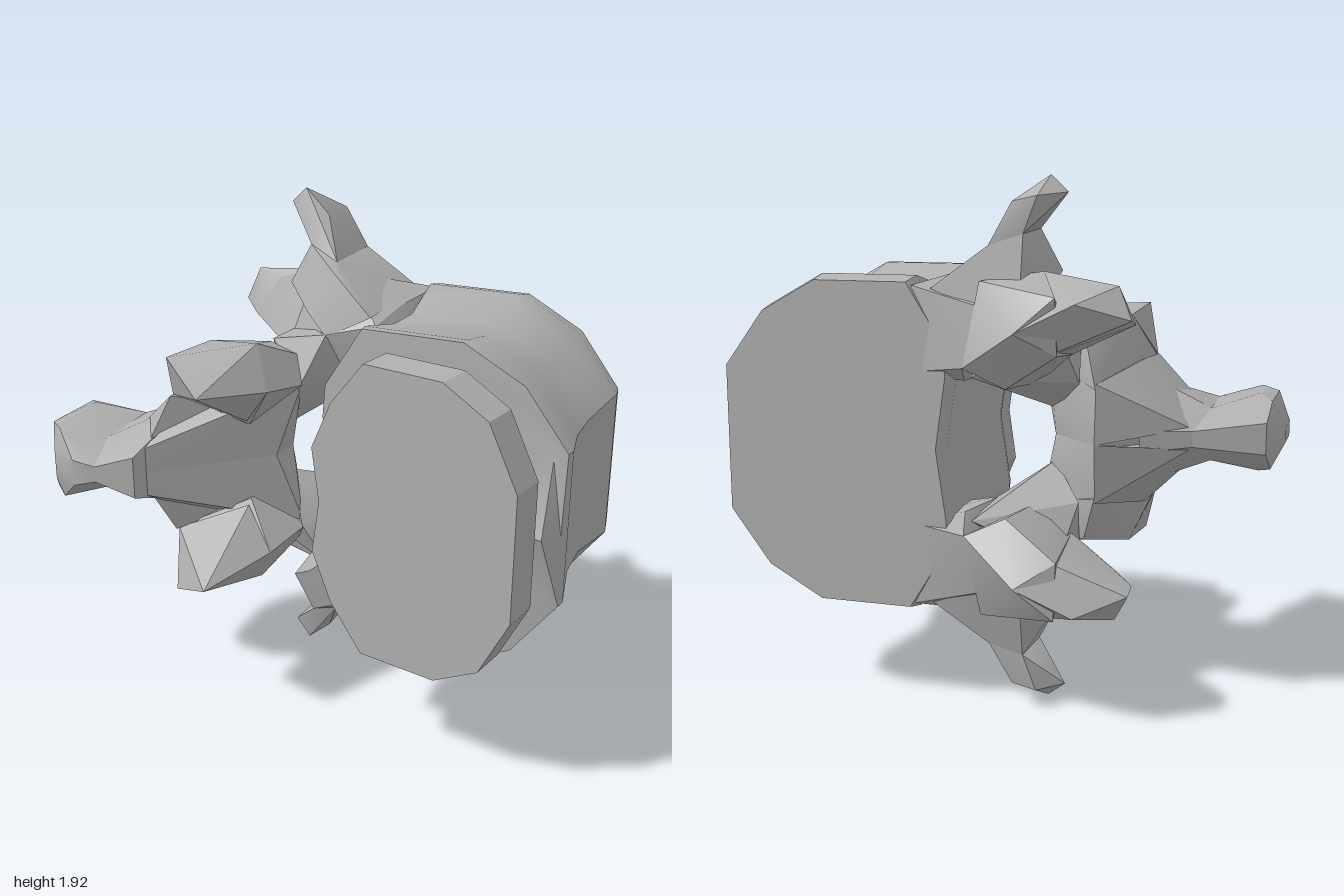
import * as THREE from 'three';
import { toCreasedNormals } from 'three/addons/utils/BufferGeometryUtils.js';
import { ConvexGeometry } from 'three/addons/geometries/ConvexGeometry.js';

const MID = 0.96; // height of the mirror plane

export function createModel() {
  const model = new THREE.Group();
  const bone = new THREE.MeshStandardMaterial({ color: 0xb0b0b0 });
  bone.name = 'bone grey';

  function add(name, geometry, crease = 0.55) {
    const mesh = new THREE.Mesh(toCreasedNormals(geometry, crease), bone);
    mesh.name = name;
    model.add(mesh);
  }

  // Points are [x, distance from the mirror plane, z]
  const place = (pts, side) => pts.map(([x, u, z]) => new THREE.Vector3(x, MID + side * u, z));

  // One faceted bone lump above the mirror plane and its twin below
  function pair(name, pts) {
    add('upper' + name, new ConvexGeometry(place(pts, 1)));
    add('lower' + name, new ConvexGeometry(place(pts, -1)));
  }
  // One lump that straddles the mirror plane
  function central(name, pts) {
    add(name, new ConvexGeometry([...place(pts, 1), ...place(pts, -1)]));
  }

  // Closed outline, counter-clockwise from the front, from its half
  const outline = (half) => [
    ...half.map(([x, u]) => [x, MID - u]),
    ...half.slice(1, -1).reverse().map(([x, u]) => [x, MID + u]),
  ];

  // Skin between rings ordered from back to front, closed by fans
  function loft(rings) {
    const n = rings[0].length;
    const pos = rings.flat(2);
    const index = [];
    for (let r = 0; r < rings.length - 1; r++) {
      for (let i = 0; i < n; i++) {
        const a = r * n + i, b = r * n + (i + 1) % n;
        index.push(a, b, b + n, a, b + n, a + n);
      }
    }
    [0, rings.length - 1].forEach((r) => {
      const c = pos.length / 3;
      for (let k = 0; k < 3; k++) pos.push(rings[r].reduce((s, p) => s + p[k], 0) / n);
      for (let i = 0; i < n; i++) {
        const a = r * n + i, b = r * n + (i + 1) % n;
        index.push(c, ...(r ? [a, b] : [b, a]));
      }
    });
    const g = new THREE.BufferGeometry();
    g.setAttribute('position', new THREE.Float32BufferAttribute(pos, 3));
    g.setIndex(index);
    return g;
  }

  // Waisted body of the vertebra, with a lip at the middle of its outer front rim
  const bodyOutline = outline([
    [0.14, 0], [0.1, 0.27], [0.11, 0.39], [0.25, 0.61], [0.62, 0.61], [0.84, 0.49], [1, 0.28], [1, 0],
  ]);
  const bodyRings = [
    [0.95, -0.435, 0], [0.985, -0.35, 0], [0.95, -0.25, 0], [0.9, -0.1, 0],
    [0.91, 0.06, 0], [1, 0.26, 0], [0.985, 0.295, 0.03], [0.88, 0.3, 0.09],
  ].map(([s, z, lip]) => bodyOutline.map(([x, y]) => [
    0.55 + (x - 0.55) * s, MID + (y - MID) * Math.min(1, s + 0.02), z + (x === 1 && y === MID ? lip : 0),
  ]));
  add('vertebralBody', loft(bodyRings), 0.6);

  // Tilted disc in front of the body
  const discOutline = outline([
    [0.15, 0], [0.12, 0.2], [0.2, 0.38], [0.33, 0.545], [0.63, 0.545], [0.8, 0.45], [0.91, 0.23], [0.91, 0],
  ]);
  add('disc', loft([[0.025, -0.14], [0, 0]].map(([dx, dz]) =>
    discOutline.map(([x, y]) => [x + dx, y, 0.39 + 0.2 * x + dz]))), 0.4);

  // Pedicles joining the body to the arch
  pair('Pedicle', [
    [0.3, 0.27, -0.42], [0.25, 0.58, -0.42], [0.3, 0.3, -0.05], [0.2, 0.56, -0.2], [0.17, 0.52, -0.02],
    [0.08, 0.24, -0.35], [0.03, 0.24, -0.1], [-0.02, 0.47, 0], [0, 0.66, -0.2], [-0.05, 0.5, -0.43],
    [0.05, 0.3, -0.46],
  ]);
  pair('ArchShoulder', [
    [0.05, 0.25, -0.1], [0.04, 0.26, -0.4], [-0.02, 0.47, 0], [-0.09, 0.29, 0.07], [-0.17, 0.1, -0.02],
    [-0.09, 0.16, -0.04], [-0.3, 0.22, -0.18], [-0.26, 0.4, -0.3], [-0.28, 0.4, -0.08],
  ]);

  // Transverse wings: broad root and bent tip
  const bend = [
    [-0.14, 0.77, -0.13], [-0.14, 0.76, -0.36], [-0.02, 0.72, -0.1], [-0.02, 0.72, -0.38],
  ];
  pair('TransverseRoot', [
    ...bend, [-0.22, 0.62, -0.12], [-0.11, 0.54, -0.03], [0, 0.68, -0.05], [0.18, 0.57, -0.42],
    [0.15, 0.55, -0.02], [-0.02, 0.46, 0], [-0.14, 0.45, -0.42],
  ]);
  pair('TransverseTip', [
    ...bend, [-0.2, 0.96, -0.215], [-0.27, 0.9, -0.24], [-0.19, 0.89, -0.36],
    [-0.1, 0.87, -0.2], [-0.1, 0.87, -0.36],
  ]);

  // Rear joint spurs
  pair('RearJointRoot', [
    [-0.17, 0.44, -0.585], [-0.2, 0.63, -0.3], [-0.28, 0.33, -0.2], [-0.3, 0.36, -0.5], [-0.3, 0.56, -0.53],
    [-0.1, 0.23, -0.44], [0.05, 0.3, -0.46], [0, 0.6, -0.42], [-0.02, 0.5, -0.08], [-0.17, 0.22, -0.12],
  ]);
  pair('RearJointTip', [
    [-0.48, 0.59, -0.36], [-0.54, 0.46, -0.36], [-0.54, 0.48, -0.43], [-0.37, 0.54, -0.545],
    [-0.17, 0.44, -0.585], [-0.2, 0.63, -0.3], [-0.36, 0.58, -0.3], [-0.28, 0.33, -0.2],
    [-0.46, 0.43, -0.28], [-0.22, 0.34, -0.5],
  ]);

  // Laminae closing the back of the canal and flaring into the spine
  pair('Lamina', [
    [-0.17, 0, -0.02], [-0.18, 0, 0.1], [-0.55, 0, 0.46], [-0.55, 0.09, 0.46], [-0.45, 0, -0.1],
    [-0.36, 0, -0.2], [-0.36, 0.2, -0.18], [-0.1, 0.28, 0.04], [-0.17, 0.1, -0.05], [-0.24, 0.15, 0.16],
    [-0.4, 0.3, 0.1],
  ]);
  pair('LaminaFlare', [
    [-0.36, 0, -0.2], [-0.36, 0.22, -0.18], [-0.48, 0.28, 0.15], [-0.49, 0.27, 0.34], [-0.67, 0.04, 0.03],
    [-0.64, 0.13, 0.28], [-0.55, 0.09, 0.42], [-0.3, 0.2, 0.15],
  ]);

  // Front joint spurs sweeping forward from the laminae
  pair('FrontJointRoot', [
    [-0.36, 0.2, -0.19], [-0.3, 0.38, -0.1], [-0.14, 0.38, 0], [-0.08, 0.29, 0.08], [-0.12, 0.32, 0.28],
    [-0.2, 0.47, 0.2], [-0.42, 0.44, 0.15], [-0.24, 0.15, 0.2], [-0.49, 0.27, 0.3],
  ]);
  pair('FrontJointTip', [
    [-0.24, 0.37, 0.575], [-0.43, 0.46, 0.45], [-0.42, 0.44, 0.15], [-0.12, 0.32, 0.28], [-0.2, 0.47, 0.2],
    [-0.24, 0.17, 0.22], [-0.49, 0.27, 0.32],
  ]);

  // Spine at the back of the arch: root and knob
  const neck = [
    [-0.73, 0.1, 0.14], [-0.68, 0.03, 0.02], [-0.72, 0.1, 0.42], [-0.7, 0.03, 0.55],
  ];
  central('spineRoot', [
    ...neck, [-0.63, 0.13, 0.27], [-0.5, 0.2, 0.18], [-0.5, 0.04, -0.08], [-0.55, 0.1, 0.4], [-0.55, 0.08, 0.52],
  ]);
  central('spineKnob', [
    ...neck, [-1, 0.03, 0.22], [-1, 0.03, 0.36], [-0.94, 0.06, 0.1], [-0.95, 0.13, 0.18],
    [-0.9, 0.15, 0.24], [-0.95, 0.13, 0.44], [-0.88, 0.14, 0.5], [-0.88, 0.05, 0.54], [-0.78, 0.05, 0.57],
  ]);

  return model;
}
